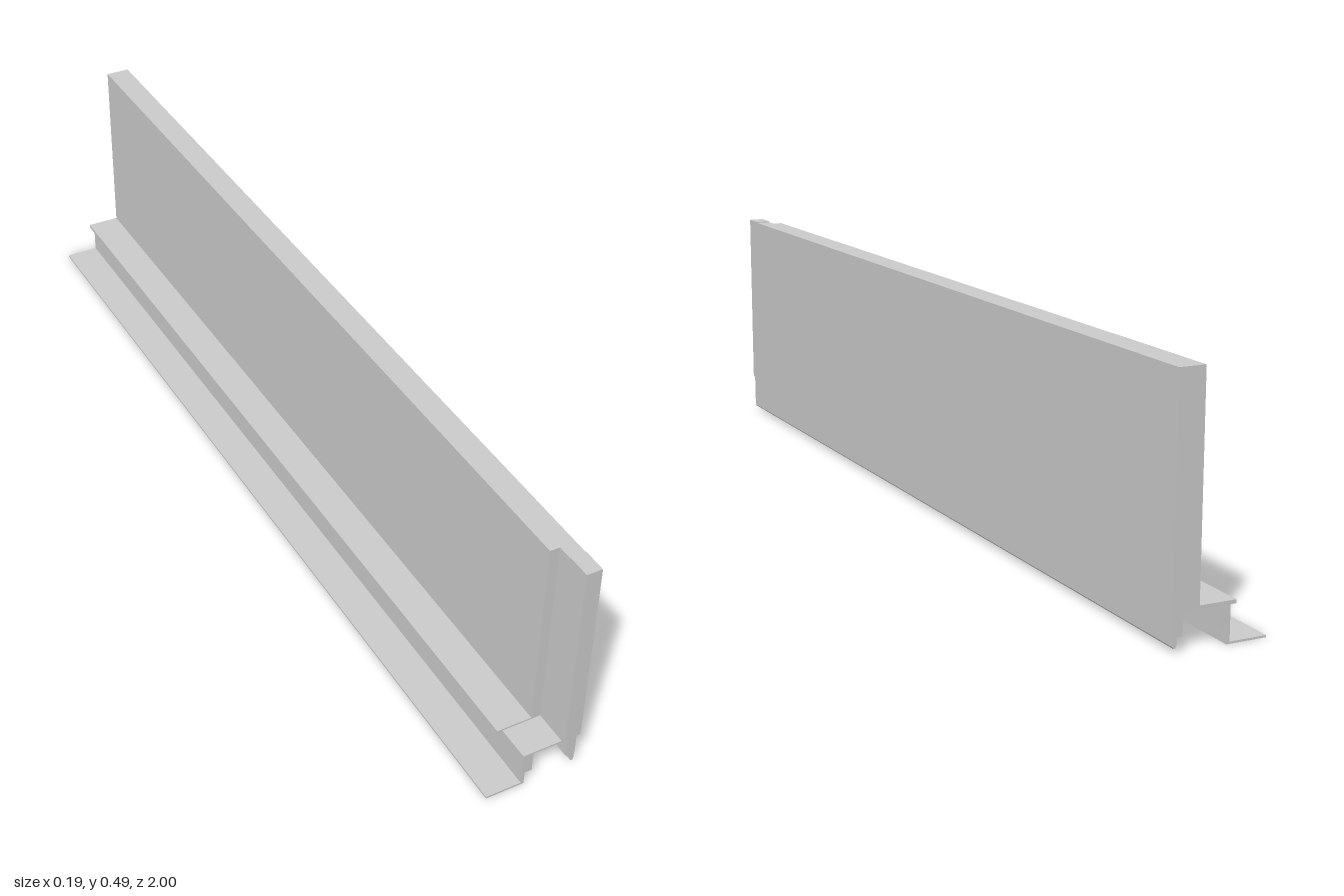
import * as THREE from 'three';

const material = new THREE.MeshStandardMaterial({ color: 0xcccccc, flatShading: true });

// Extrudes an x/y cross-section along z from z0 to z1.
function profile(name, points, z0, z1) {
  const shape = new THREE.Shape(points.map(([x, y]) => new THREE.Vector2(x, y)));
  const geometry = new THREE.ExtrudeGeometry(shape, { depth: z1 - z0, bevelEnabled: false });
  geometry.translate(0, 0, z0);
  const mesh = new THREE.Mesh(geometry, material);
  mesh.name = name;
  return mesh;
}

const rect = (x0, x1, y0, y1) => [[x0, y0], [x1, y0], [x1, y1], [x0, y1]];

export function createModel() {
  const model = new THREE.Group();
  model.name = 'trimPanel';
  const back = -1, shoulder = 0.92, end = 0.99, front = 1;

  // Upright board with its sill and two lower ribs
  model.add(profile('boardAndSill', [
    [-0.02, 0.028], [0, 0.028], [0, 0.07], [0.073, 0.07], [0.073, 0.028],
    [0.0925, 0.028], [0.0925, 0.485], [0.04, 0.485], [0.04, 0.077],
    [-0.033, 0.077], [-0.033, 0.07], [-0.02, 0.07],
  ], back, shoulder));

  // Narrower end of the board past the shoulder, above and below the front lip
  model.add(profile('boardEnd', rect(0.06, 0.0925, 0.085, 0.485), shoulder, front));
  model.add(profile('boardEndFoot', rect(0.073, 0.0925, 0.028, 0.085), shoulder, end));
  model.add(profile('boardEndCap', rect(0.06, 0.0925, 0.485, 0.487), 0.95, front));

  // Thin stepped strip: bottom flange, wall and top web
  model.add(profile('steppedStrip', [
    [-0.095, 0], [-0.015, 0], [-0.015, 0.07], [0.074, 0.07], [0.074, 0.085],
    [0.06, 0.085], [0.06, 0.0735], [-0.0215, 0.0735], [-0.0215, 0.004], [-0.095, 0.004],
  ], back, end));

  // Short return rib at the front end of the strip
  model.add(profile('endRib', rect(-0.015, 0, 0.028, 0.07), shoulder, end));

  // Drip tongue below the outer face
  model.add(profile('dripTongue', [
    [0.084, 0.012], [0.086, 0.009], [0.09, 0.009], [0.0915, 0.012],
    [0.0915, 0.03], [0.084, 0.03],
  ], back, end));

  return model;
}
